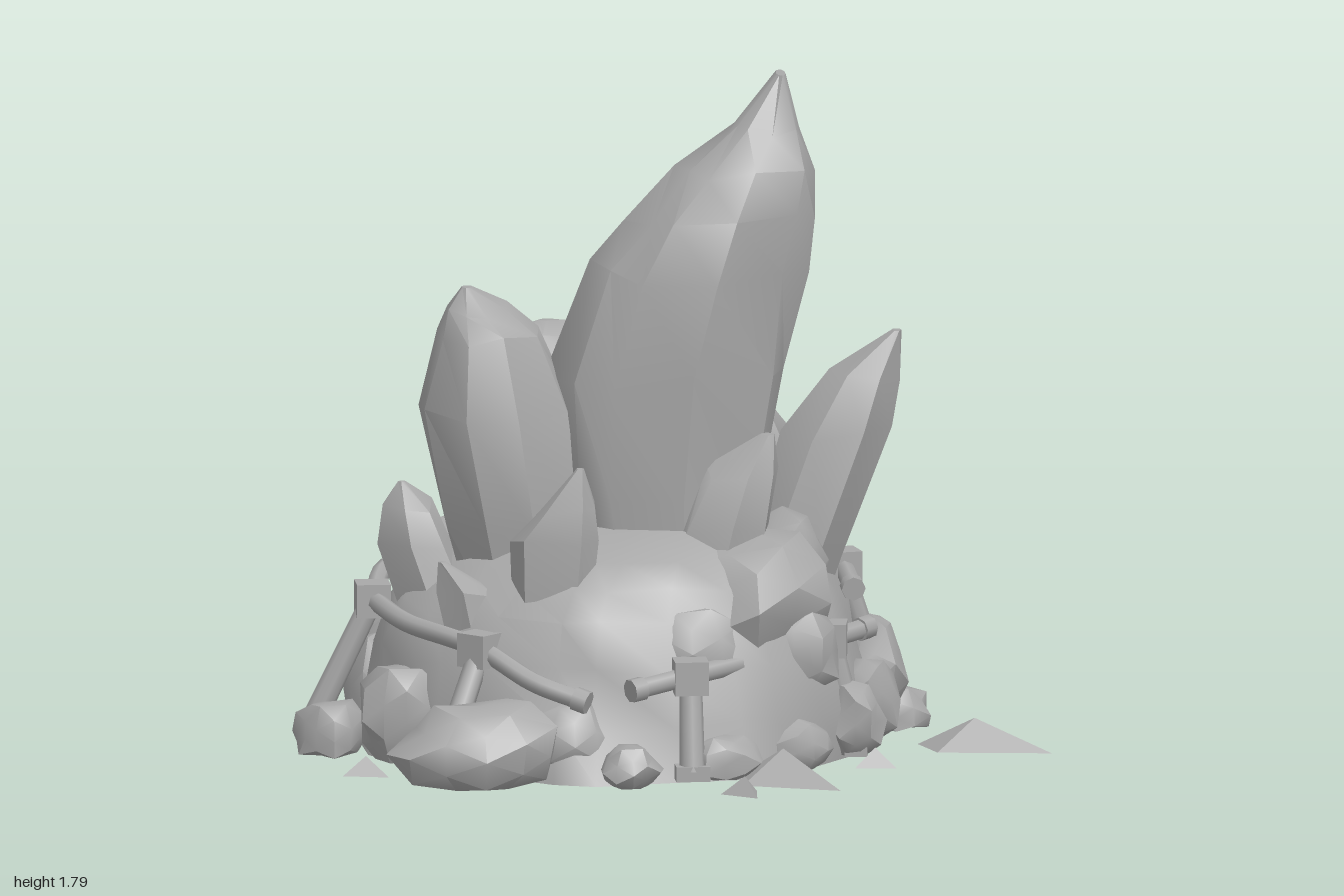
import * as THREE from 'three';
import { toCreasedNormals, mergeVertices } from 'three/addons/utils/BufferGeometryUtils.js';

const stone = new THREE.MeshStandardMaterial({ color: 0xa8a8a8 });
stone.name = 'grey stone';

// repeatable value in -1..1 from three numbers
function hash(a, b, c) {
  const s = Math.sin(a * 127.1 + b * 311.7 + c * 74.7) * 43758.5453;
  return (s - Math.floor(s)) * 2 - 1;
}

function add(parent, name, geometry) {
  const mesh = new THREE.Mesh(geometry, stone);
  mesh.name = name;
  parent.add(mesh);
  return mesh;
}

// skin over cross-sections given as [y, xMin, xMax, zMin, zMax], capped at both ends
function loft(rows, sides, bump, crease, seed) {
  const pos = [], index = [];
  rows.forEach(([y, x0, x1, z0, z1], r) => {
    for (let j = 0; j < sides; j++) {
      const a = (j + 0.3 * hash(j, seed, 5)) / sides * Math.PI * 2 + seed;
      const k = 1.02 + bump * hash(j, r, seed);
      const lift = r === 0 || r === rows.length - 1 ? 0 : bump * 0.35 * hash(r, j, seed + 3);
      pos.push((x0 + x1) / 2 + Math.cos(a) * k * (x1 - x0) / 2, y + lift,
        (z0 + z1) / 2 + Math.sin(a) * k * (z1 - z0) / 2);
    }
  });
  const last = (rows.length - 1) * sides, foot = rows.length * sides;
  for (const [y, x0, x1, z0, z1] of [rows[0], rows[rows.length - 1]]) pos.push((x0 + x1) / 2, y, (z0 + z1) / 2);
  for (let j = 0; j < sides; j++) {
    const n = (j + 1) % sides;
    for (let r = 0; r < last; r += sides) {
      index.push(r + j, r + sides + j, r + sides + n, r + j, r + sides + n, r + n);
    }
    index.push(j, n, foot, last + j, foot + 1, last + n);
  }
  const g = new THREE.BufferGeometry();
  g.setAttribute('position', new THREE.Float32BufferAttribute(pos, 3));
  g.setIndex(index);
  return toCreasedNormals(g, crease);
}

// irregular boulder, cut flat at the ground
function boulder(x, y, z, rx, ry, rz, seed) {
  let g = new THREE.IcosahedronGeometry(1, 1);
  g.deleteAttribute('uv');
  g.deleteAttribute('normal');
  g = mergeVertices(g, 0.001);
  const p = g.attributes.position;
  for (let i = 0; i < p.count; i++) {
    const k = 1 + 0.15 * hash(i, seed, 2);
    p.setXYZ(i, x + p.getX(i) * k * rx, Math.max(0.005, y + p.getY(i) * k * ry), z + p.getZ(i) * k * rz);
  }
  return toCreasedNormals(g, 0.75);
}

// round bar between two points
function bar(parent, name, from, to, r0, r1) {
  const a = new THREE.Vector3(...from), b = new THREE.Vector3(...to);
  const mesh = add(parent, name, new THREE.CylinderGeometry(r1, r0, a.distanceTo(b), 8));
  mesh.position.copy(a).lerp(b, 0.5);
  mesh.quaternion.setFromUnitVectors(new THREE.Vector3(0, 1, 0), b.sub(a).normalize());
}

function rail(parent, name, points) {
  const path = new THREE.CatmullRomCurve3(points.map(p => new THREE.Vector3(...p)));
  add(parent, name, new THREE.TubeGeometry(path, 32, 0.026, 7));
  for (const [i, s] of [[0, 1], [points.length - 1, -1]]) {
    const t = path.getTangent(i ? 1 : 0).multiplyScalar(0.02 * s).toArray();
    bar(parent, name + 'End', points[i].map((v, k) => v - t[k]), points[i].map((v, k) => v + t[k]), 0.032, 0.032);
  }
}

export function createModel() {
  const model = new THREE.Group();
  model.name = 'crystalOutcrop';

  // mound
  add(model, 'mound', loft([
    [0, -0.78, 0.56, -0.7, 0.64], [0.14, -0.77, 0.55, -0.71, 0.61], [0.28, -0.74, 0.51, -0.68, 0.56],
    [0.4, -0.69, 0.47, -0.65, 0.52], [0.49, -0.62, 0.43, -0.6, 0.46], [0.56, -0.5, 0.38, -0.5, 0.38],
    [0.61, -0.3, 0.28, -0.35, 0.26]], 26, 0.05, 0.9, 1));
  add(model, 'frontLedge', boulder(0.2, 0.43, 0.24, 0.23, 0.18, 0.25, 4));
  add(model, 'frontLedgeTop', boulder(0.3, 0.5, 0.12, 0.12, 0.13, 0.15, 7));

  // crystals
  const crystals = {
    mainCrystal: [11, [0.3, -0.22, 0.24, -0.34, 0.25], [0.7, -0.28, 0.28, -0.38, 0.26], [1.0, -0.3, 0.34, -0.37, 0.26],
      [1.28, -0.21, 0.38, -0.335, 0.26], [1.42, -0.1, 0.395, -0.27, 0.24], [1.54, 0.02, 0.395, -0.2, 0.19],
      [1.65, 0.17, 0.36, -0.14, 0.13], [1.79, 0.295, 0.32, -0.05, 0.04]],
    leftCrystal: [8, [0.3, -0.52, -0.2, -0.15, 0.16], [0.6, -0.6, -0.22, -0.2, 0.21], [0.9, -0.665, -0.25, -0.22, 0.23],
      [1.1, -0.61, -0.34, -0.14, 0.15], [1.17, -0.58, -0.42, -0.08, 0.09], [1.23, -0.54, -0.51, -0.02, 0.02]],
    rightCrystal: [7, [0.3, 0.16, 0.4, -0.16, 0.1], [0.5, 0.22, 0.48, -0.17, 0.11], [0.82, 0.32, 0.6, -0.16, 0.1],
      [0.97, 0.44, 0.62, -0.12, 0.06], [1.09, 0.605, 0.63, -0.04, 0]],
    frontLeftCrystal: [7, [0.15, -0.41, -0.25, 0.23, 0.41], [0.35, -0.43, -0.23, 0.21, 0.43], [0.6, -0.44, -0.195, 0.21, 0.43],
      [0.69, -0.38, -0.21, 0.26, 0.42], [0.8, -0.27, -0.25, 0.34, 0.37]],
    frontCrystal: [7, [0.4, 0, 0.18, 0.12, 0.32], [0.62, 0.02, 0.26, 0.14, 0.33], [0.76, 0.09, 0.28, 0.15, 0.3],
      [0.86, 0.23, 0.27, 0.2, 0.24]],
    backCrystal: [7, [0.4, -0.38, -0.16, -0.46, -0.2], [0.7, -0.4, -0.14, -0.51, -0.26], [0.92, -0.38, -0.14, -0.52, -0.32],
      [1.03, -0.33, -0.21, -0.51, -0.39], [1.05, -0.29, -0.24, -0.49, -0.45]],
    backRightCrystal: [7, [0.35, 0.1, 0.3, -0.46, -0.2], [0.62, 0.13, 0.36, -0.47, -0.2], [0.78, 0.16, 0.36, -0.42, -0.22],
      [0.86, 0.25, 0.3, -0.31, -0.26]],
    smallLeftCrystal: [6, [0.3, -0.68, -0.46, -0.08, 0.12], [0.55, -0.76, -0.56, -0.1, 0.1], [0.64, -0.75, -0.61, -0.06, 0.07],
      [0.71, -0.71, -0.69, -0.01, 0.01]],
    tinyLeftCrystal: [6, [0.3, -0.6, -0.43, 0.2, 0.34], [0.46, -0.64, -0.46, 0.18, 0.34], [0.54, -0.63, -0.61, 0.25, 0.28]],
  };
  Object.entries(crystals).forEach(([name, [sides, ...rows]], i) =>
    add(model, name, loft(rows, sides, 0.06, 0.65, i + 2)));

  // boulders round the foot: x, y, z, half sizes
  const boulders = [
    [-0.55, 0.09, 0.62, 0.22, 0.14, 0.16], [-0.9, 0.05, 0.1, 0.1, 0.1, 0.12], [-0.72, 0.12, 0.22, 0.12, 0.15, 0.13],
    [0.62, 0.04, -0.14, 0.1, 0.08, 0.11], [0.55, 0.15, -0.06, 0.1, 0.16, 0.14], [0.52, 0.12, 0.12, 0.09, 0.12, 0.1],
    [0.47, 0.1, 0.3, 0.08, 0.11, 0.08], [0.3, 0.06, 0.48, 0.1, 0.08, 0.07], [0.1, 0.05, 0.58, 0.1, 0.08, 0.08],
    [-0.16, 0.05, 0.68, 0.08, 0.07, 0.1], [-0.3, 0.1, 0.52, 0.12, 0.12, 0.1], [0.49, 0.14, -0.34, 0.1, 0.15, 0.13],
    [0.38, 0.1, -0.5, 0.1, 0.13, 0.1], [0.16, 0.12, -0.63, 0.12, 0.13, 0.1], [-0.25, 0.1, -0.69, 0.1, 0.12, 0.08],
    [-0.45, 0.1, -0.64, 0.09, 0.11, 0.08], [-0.66, 0.14, -0.43, 0.12, 0.16, 0.11], [-0.74, 0.12, -0.26, 0.09, 0.15, 0.11],
    [-0.2, 0.48, -0.52, 0.16, 0.11, 0.1], [0.1, 0.5, -0.47, 0.13, 0.12, 0.12], [0.35, 0.46, -0.3, 0.12, 0.12, 0.13],
    [-0.5, 0.43, -0.35, 0.13, 0.12, 0.12], [0.02, 0.33, 0.44, 0.15, 0.12, 0.1], [0.3, 0.3, 0.34, 0.14, 0.13, 0.1]];
  boulders.forEach(([x, y, z, ...r], i) => add(model, 'boulder', boulder(x, y, z, ...r, i + 10)));

  // fence rails, broken at the front
  const fence = new THREE.Group();
  fence.name = 'fence';
  model.add(fence);
  rail(fence, 'backRail', [[-0.77, 0.38, -0.08], [-0.71, 0.42, -0.32], [-0.54, 0.43, -0.53], [-0.34, 0.43, -0.65],
    [-0.13, 0.44, -0.69], [0.12, 0.43, -0.65], [0.3, 0.44, -0.52], [0.42, 0.44, -0.32], [0.48, 0.44, -0.11], [0.49, 0.42, 0.09]]);
  rail(fence, 'leftRail', [[-0.77, 0.38, -0.08], [-0.7, 0.36, 0.17], [-0.53, 0.33, 0.41], [-0.4, 0.26, 0.53], [-0.28, 0.22, 0.59]]);
  rail(fence, 'frontRail', [[-0.14, 0.26, 0.66], [0.01, 0.28, 0.58], [0.22, 0.3, 0.44], [0.41, 0.32, 0.29], [0.51, 0.33, 0.2]]);

  // leaning posts with a block at the top and a small foot
  const posts = [
    [[-0.13, 0.44, -0.7], [-0.13, 0.07, -0.84]], [[-0.54, 0.43, -0.53], [-0.65, 0.08, -0.65]],
    [[-0.77, 0.38, -0.08], [-0.93, 0.05, -0.08]], [[-0.53, 0.33, 0.41], [-0.64, 0.05, 0.52]],
    [[0.01, 0.28, 0.59], [0.01, 0.03, 0.64]], [[0.41, 0.32, 0.29], [0.48, 0.03, 0.3]],
    [[0.48, 0.44, -0.11], [0.58, 0.12, -0.13]], [[0.3, 0.44, -0.53], [0.38, 0.08, -0.63]]];
  for (const [top, base] of posts) {
    bar(fence, 'post', base, top, 0.034, 0.03);
    const block = add(fence, 'postBlock', new THREE.BoxGeometry(0.09, 0.09, 0.09));
    block.position.set(...top);
    block.rotation.y = Math.atan2(base[0] - top[0], base[2] - top[2]);
    const foot = add(fence, 'postFoot', new THREE.BoxGeometry(0.09, 0.04, 0.06));
    foot.position.set(...base);
    foot.rotation.y = block.rotation.y;
  }

  // loose shards on the ground: height, then outline as x, z pairs
  const shards = [
    [0.08, [0.66, 0.12], [0.7, 0.25], [1.0, 0.29], [0.86, 0.08]], [0.09, [0.14, 0.54], [0.14, 0.68], [0.39, 0.78], [0.37, 0.64], [0.22, 0.53]],
    [0.05, [-0.83, 0.35], [-0.9, 0.44], [-0.78, 0.47]], [0.05, [0.52, 0.36], [0.46, 0.46], [0.57, 0.47]],
    [0.05, [0.07, 0.8], [0.16, 0.87], [0.17, 0.76]], [0.06, [0.22, -0.87], [0.13, -0.78], [0.23, -0.73]]];
  for (const [h, ...outline] of shards) {
    const n = outline.length;
    const cx = outline.reduce((s, p) => s + p[0], 0) / n, cz = outline.reduce((s, p) => s + p[1], 0) / n;
    const pos = [];
    outline.forEach(([x, z], i) => {
      const [nx, nz] = outline[(i + 1) % n];
      pos.push(x, 0, z, nx, 0, nz, cx, h, cz, nx, 0, nz, x, 0, z, cx, 0, cz);
    });
    const g = new THREE.BufferGeometry();
    g.setAttribute('position', new THREE.Float32BufferAttribute(pos, 3));
    g.computeVertexNormals();
    add(model, 'shard', g);
  }
  return model;
}
